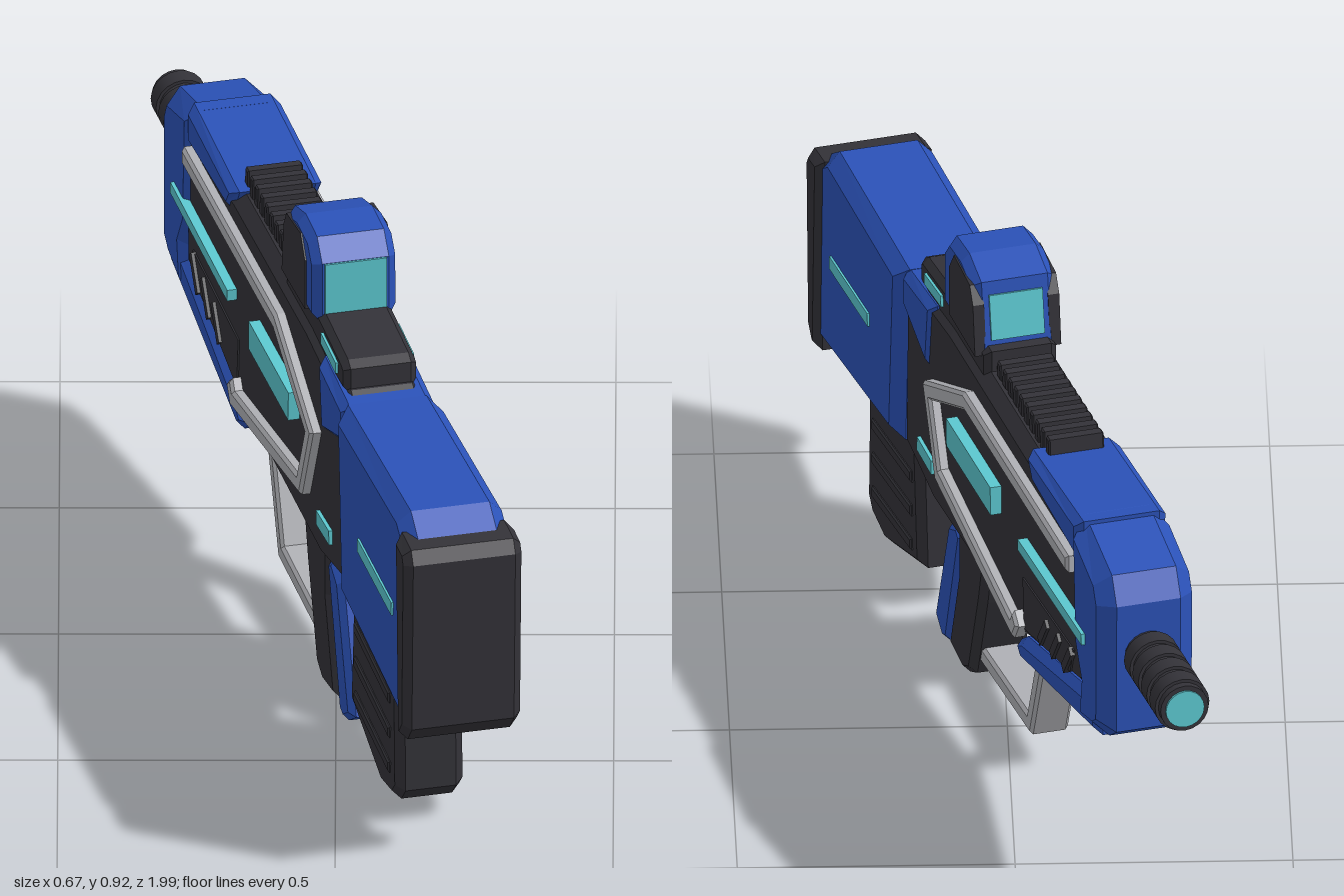
import * as THREE from 'three';

const material = (name, color) => {
  const m = new THREE.MeshStandardMaterial({ color });
  m.name = name;
  return m;
};

export function createModel() {
  const blue = material('blue armour', 0x2b52b8);
  const dark = material('dark polymer', 0x333238);
  const grey = material('light grey metal', 0xb0b1b6);
  const cyan = material('cyan glow', 0x5cc8d0);

  const model = new THREE.Group();
  model.name = 'blaster';
  const gun = new THREE.Group();
  gun.name = 'gun';
  gun.rotation.y = THREE.MathUtils.degToRad(15);
  gun.position.set(-0.026, 0, 0.007);
  model.add(gun);

  const add = (name, geometry, mat) => {
    const mesh = new THREE.Mesh(geometry, mat);
    mesh.name = name;
    gun.add(mesh);
    return mesh;
  };

  // Side profile of [z, y] points, extruded across x with chamfered edges
  const slab = (name, mat, pts, half, bevel = 0.01, cx = 0) => {
    const shape = new THREE.Shape(pts.map(([z, y]) => new THREE.Vector2(z, y)));
    const geo = new THREE.ExtrudeGeometry(shape, {
      depth: 2 * (half - bevel), bevelEnabled: bevel > 0, bevelSegments: 1,
      bevelSize: bevel, bevelThickness: bevel, bevelOffset: -bevel,
    });
    geo.translate(0, 0, bevel - half);
    geo.rotateY(-Math.PI / 2);
    geo.translate(cx, 0, 0);
    return add(name, geo, mat);
  };

  // The same plate on both sides, from x = inner to x = outer
  const sides = (name, mat, pts, inner, outer, bevel = 0) => {
    for (const s of [1, -1])
      slab(name + (s > 0 ? 'Left' : 'Right'), mat, pts, (outer - inner) / 2, bevel, s * (inner + outer) / 2);
  };

  // Outline of a bent bar along a path, with mitred corners
  const stroke = (path, width) => {
    const p = path.map(([z, y]) => new THREE.Vector2(z, y));
    const normal = (a, b) => {
      const d = b.clone().sub(a).normalize();
      return new THREE.Vector2(-d.y, d.x);
    };
    const a = [], b = [];
    p.forEach((q, i) => {
      const n0 = normal(p[Math.max(i - 1, 0)], p[Math.max(i, 1)]);
      const n1 = i < p.length - 1 ? normal(q, p[i + 1]) : n0;
      const m = n0.clone().add(n1).normalize();
      m.multiplyScalar(width / 2 / m.dot(n0));
      a.push([q.x + m.x, q.y + m.y]);
      b.unshift([q.x - m.x, q.y - m.y]);
    });
    return [...a, ...b];
  };

  // Main body
  slab('receiver', dark, [[0.47, 0.68], [0.48, 0.335], [0.29, 0.305], [-0.27, 0.335], [-0.66, 0.44],
    [-0.66, 0.715], [-0.32, 0.745], [0.19, 0.735], [0.42, 0.71]], 0.079, 0.022);
  slab('rearCollar', blue, [[0.47, 0.7], [0.29, 0.718], [0.31, 0.577], [0.47, 0.625]], 0.086, 0.015);

  // Stock and butt pad
  slab('stock', blue, [[0.458, 0.702], [0.9, 0.705], [0.955, 0.67], [0.96, 0.285], [0.485, 0.335]], 0.098, 0.025);
  slab('buttPad', dark, [[0.92, 0.675], [0.985, 0.67], [1.0, 0.645], [0.99, 0.31], [0.96, 0.277], [0.935, 0.277]], 0.11, 0.015);

  // Front shroud: nose block with an upper and a lower arm
  slab('shroudNose', blue, [[-0.6, 0.774], [-0.77, 0.74], [-0.8, 0.69], [-0.798, 0.43], [-0.755, 0.4],
    [-0.64, 0.376], [-0.65, 0.47], [-0.61, 0.53]], 0.09, 0.03);
  slab('shroudTop', blue, [[-0.31, 0.752], [-0.63, 0.776], [-0.63, 0.695], [-0.345, 0.7]], 0.086, 0.015);
  slab('shroudBottom', blue, [[-0.24, 0.32], [-0.275, 0.293], [-0.75, 0.4], [-0.75, 0.47],
    [-0.62, 0.438], [-0.28, 0.347]], 0.086, 0.015);

  // Barrel with raised rings and a glowing muzzle
  const barrel = new THREE.Group();
  barrel.name = 'barrel';
  barrel.position.set(0, 0.585, -0.78);
  barrel.rotation.x = -Math.PI / 2 + 0.04;
  gun.add(barrel);
  const tube = (name, r, from, to, mat) => {
    const mesh = new THREE.Mesh(new THREE.CylinderGeometry(r, r, to - from, 20), mat);
    mesh.name = name;
    mesh.position.y = (from + to) / 2;
    barrel.add(mesh);
  };
  tube('barrelTube', 0.045, -0.06, 0.246, dark);
  for (let i = 0; i < 4; i++) tube('barrelRing', 0.051, 0.035 + i * 0.053, 0.072 + i * 0.053, dark);
  tube('muzzleGlow', 0.036, 0.243, 0.25, cyan);

  // Sight base, housing, side panels and screens
  slab('sightBase', dark, [[0.415, 0.7], [0.415, 0.75], [0.395, 0.76], [0.2, 0.78], [0.0, 0.78], [0.0, 0.7]], 0.068, 0.012);
  slab('sightHousing', blue, [[0.236, 0.755], [0.236, 0.875], [0.2, 0.913], [0.12, 0.92], [0.045, 0.9], [0.02, 0.76]], 0.078, 0.016);
  sides('sightPanel', dark, [[0.185, 0.762], [0.185, 0.86], [0.155, 0.9], [0.055, 0.892], [0.035, 0.86], [0.022, 0.762]], 0.06, 0.081);
  const screen = add('frontScreen', new THREE.BoxGeometry(0.115, 0.105, 0.009), cyan);
  screen.position.set(0, 0.822, 0.236);
  slab('rearScreen', cyan, stroke([[0.04, 0.875], [0.025, 0.79]], 0.009), 0.05, 0);

  // Toothed top rail
  slab('railBase', dark, [[0.18, 0.72], [0.18, 0.752], [-0.34, 0.768], [-0.34, 0.72]], 0.046, 0.008);
  for (let i = 0; i < 10; i++) {
    const z = -0.02 - i * 0.034, y = 0.772 + i * 0.0014;
    slab('railTooth', dark, [[z, y], [z - 0.018, y], [z - 0.022, 0.74], [z + 0.004, 0.74]], 0.052, 0.003);
  }

  // Grey side frames
  sides('sideFrame', grey, stroke([[-0.613, 0.682], [0.035, 0.665], [0.272, 0.558], [0.205, 0.42],
    [-0.265, 0.362], [-0.285, 0.39]], 0.034), 0.07, 0.1, 0.006);

  // Glowing side bars
  sides('centreLight', cyan, stroke([[0.14, 0.545], [-0.138, 0.553]], 0.056), 0.07, 0.1);
  sides('frontLight', cyan, stroke([[-0.3, 0.552], [-0.7, 0.574]], 0.022), 0.07, 0.097);
  sides('stockLight', cyan, stroke([[0.87, 0.496], [0.63, 0.508]], 0.026), 0.09, 0.102);
  sides('rearLight', cyan, stroke([[0.372, 0.392], [0.282, 0.39]], 0.028), 0.07, 0.086);
  sides('sightLight', cyan, stroke([[0.37, 0.732], [0.265, 0.742]], 0.022), 0.06, 0.073);

  // Vent panels with slanted louvres
  sides('ventPanel', dark, [[-0.28, 0.47], [-0.6, 0.495], [-0.58, 0.44], [-0.29, 0.37]], 0.07, 0.082);
  for (let i = 0; i < 3; i++) {
    const z = -0.4 - i * 0.075, y = 0.405 + i * 0.013;
    sides('ventLouvre', dark, stroke([[z, y], [z - 0.045, y + 0.06]], 0.018), 0.075, 0.088);
  }

  // Magazine with grip ribs
  slab('magazine', dark, [[0.755, 0.36], [0.765, 0.07], [0.735, 0.04], [0.65, 0.027], [0.43, 0.095], [0.455, 0.36]], 0.063, 0.016);
  for (let i = 0; i < 3; i++) {
    const y = 0.25 - i * 0.07;
    sides('magazineRib', dark, stroke([[0.72, y - 0.012], [0.475, y + 0.012]], 0.022), 0.055, 0.068, 0.003);
  }

  // Grip, backstrap, trigger and guard
  slab('grip', dark, [[0.23, 0.35], [0.055, 0.35], [0.065, 0.28], [0.085, 0.21], [0.15, 0.03],
    [0.195, 0.008], [0.29, 0.02], [0.23, 0.2]], 0.052, 0.014);
  slab('backstrap', blue, [[0.3, 0.262], [0.25, 0.285], [0.22, 0.27], [0.305, 0.01], [0.335, 0], [0.385, 0.03]], 0.05, 0.012);
  slab('trigger', blue, [[0.07, 0.34], [0.02, 0.34], [0.03, 0.25], [0.048, 0.235], [0.05, 0.29]], 0.015, 0.004);
  slab('triggerGuard', grey, stroke([[-0.265, 0.35], [-0.162, 0.095], [0.16, 0.073]], 0.034), 0.036, 0.006);

  return model;
}
